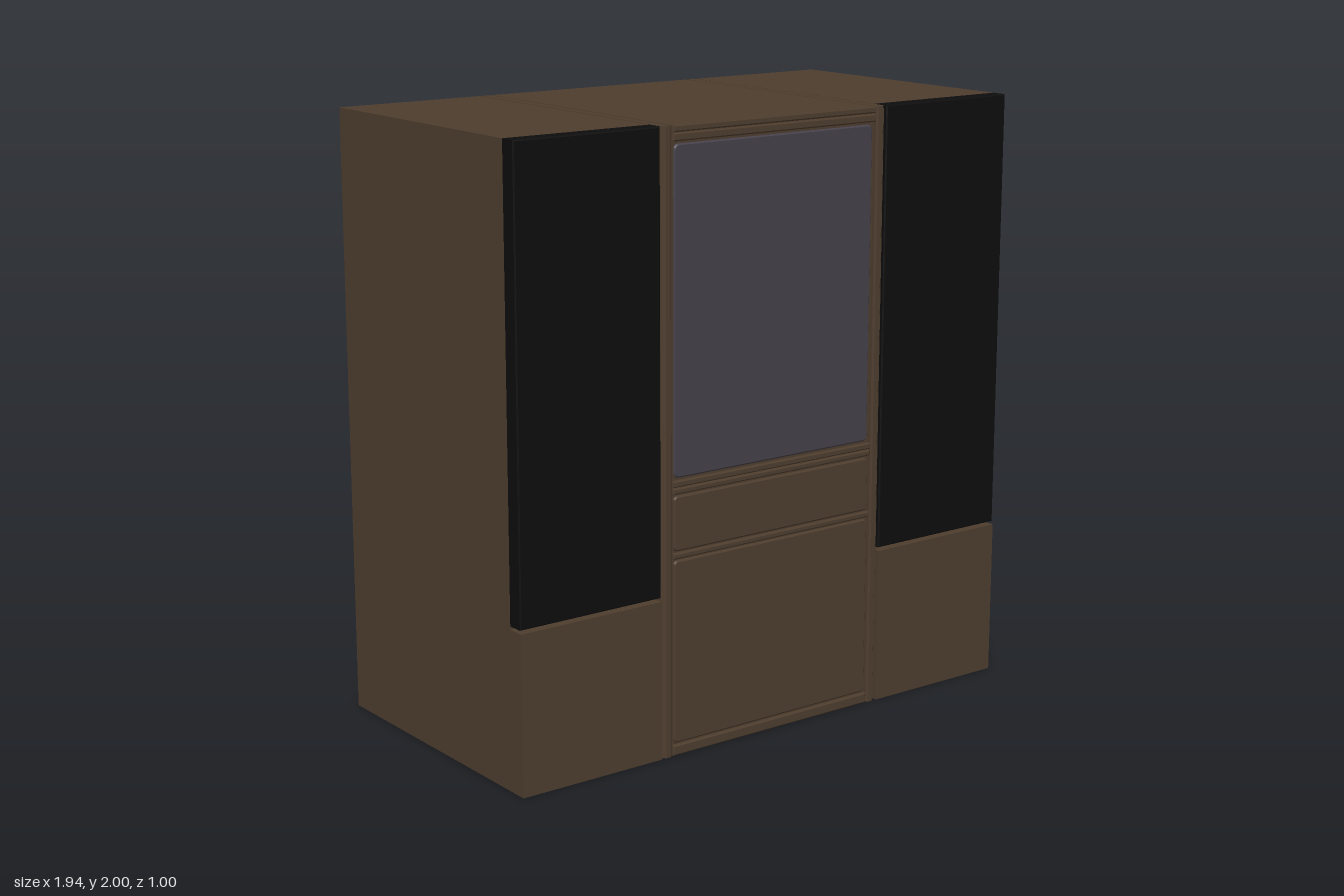
import * as THREE from 'three';

const wood = new THREE.MeshStandardMaterial({ color: 0x4d3c2d });
wood.name = 'dark wood';
const cloth = new THREE.MeshStandardMaterial({ color: 0x0d0d0d });
cloth.name = 'black cloth';
const glass = new THREE.MeshStandardMaterial({ color: 0x454049 });
glass.name = 'grey screen';

function add(parent, name, geometry, material) {
  const mesh = new THREE.Mesh(geometry, material);
  mesh.name = name;
  parent.add(mesh);
  return mesh;
}

// Box given by its limits
function block(x0, x1, y0, y1, z0, z1) {
  return new THREE.BoxGeometry(x1 - x0, y1 - y0, z1 - z0)
    .translate((x0 + x1) / 2, (y0 + y1) / 2, (z0 + z1) / 2);
}

// Plate with clipped or rounded corners and a chamfered front edge
function plate(x0, x1, y0, y1, z0, z1, bevel, radius = 0) {
  const a = x0 + bevel, b = x1 - bevel, c = y0 + bevel, d = y1 - bevel, r = radius;
  const s = new THREE.Shape();
  s.moveTo(a + r, c);
  s.lineTo(b - r, c);
  if (r) s.quadraticCurveTo(b, c, b, c + r);
  s.lineTo(b, d - r);
  if (r) s.quadraticCurveTo(b, d, b - r, d);
  s.lineTo(a + r, d);
  if (r) s.quadraticCurveTo(a, d, a, d - r);
  s.lineTo(a, c + r);
  if (r) s.quadraticCurveTo(a, c, a + r, c);
  const g = new THREE.ExtrudeGeometry(s, {
    depth: z1 - z0 - 2 * bevel, bevelEnabled: true, bevelThickness: bevel,
    bevelSize: bevel, bevelSegments: 1, curveSegments: 4,
  });
  return g.translate(0, 0, z0 + bevel);
}

export function createModel() {
  const model = new THREE.Group();
  model.name = 'mediaCabinet';

  // Centre cabinet: set-back core, body and the pieces of its face
  const centre = new THREE.Group();
  centre.name = 'centreCabinet';
  model.add(centre);
  add(centre, 'core', block(-0.45, 0.45, 0.001, 1.99, -0.499, 0.484), wood);
  add(centre, 'body', block(-0.4, 0.4, 0, 2, -0.5, 0.488), wood);
  add(centre, 'screen', plate(-0.394, 0.394, 0.907, 1.943, 0.48, 0.494, 0.005, 0.015), glass);
  add(centre, 'drawer', plate(-0.397, 0.397, 0.672, 0.85, 0.48, 0.497, 0.005, 0.01), wood);
  add(centre, 'lowerDoor', plate(-0.397, 0.397, 0.04, 0.642, 0.48, 0.497, 0.005, 0.01), wood);
  const rails = [[0, 0.034], [0.648, 0.667], [0.857, 0.876], [0.879, 0.9], [1.951, 1.976], [1.979, 2]];
  for (const [y0, y1] of rails) {
    add(centre, 'rail', plate(-0.402, 0.402, y0, y1, 0.48, 0.5, 0.004), wood);
  }

  for (const side of [-1, 1]) {
    const label = side > 0 ? 'left' : 'right';

    // Post with chamfered front corners, between two narrow grooves
    const post = new THREE.Shape([
      [0.406, -0.5], [0.441, -0.5], [0.441, 0.488], [0.43, 0.5], [0.412, 0.5], [0.406, 0.494],
    ].map(([x, z]) => new THREE.Vector2(side * x, -z)));
    const postGeometry = new THREE.ExtrudeGeometry(post, { depth: 2, bevelEnabled: false });
    add(centre, label + 'Post', postGeometry.rotateX(-Math.PI / 2), wood);

    // Side cabinet, stepped back above its base
    const profile = new THREE.Shape([
      [-0.5, 0], [0.5, 0], [0.5, 0.522], [0.44, 0.522], [0.44, 2], [-0.5, 2],
    ].map(([z, y]) => new THREE.Vector2(-z, y)));
    const cabinet = new THREE.ExtrudeGeometry(profile, { depth: 0.523, bevelEnabled: false })
      .rotateY(Math.PI / 2).translate(side > 0 ? 0.447 : -0.97, 0, 0);
    add(model, label + 'Cabinet', cabinet, wood);

    // Cloth panel standing just above the base
    const [x0, x1] = side > 0 ? [0.448, 0.97] : [-0.97, -0.448];
    add(model, label + 'ClothPanel', plate(x0, x1, 0.533, 2, 0.438, 0.498, 0.004), cloth);
  }
  return model;
}
